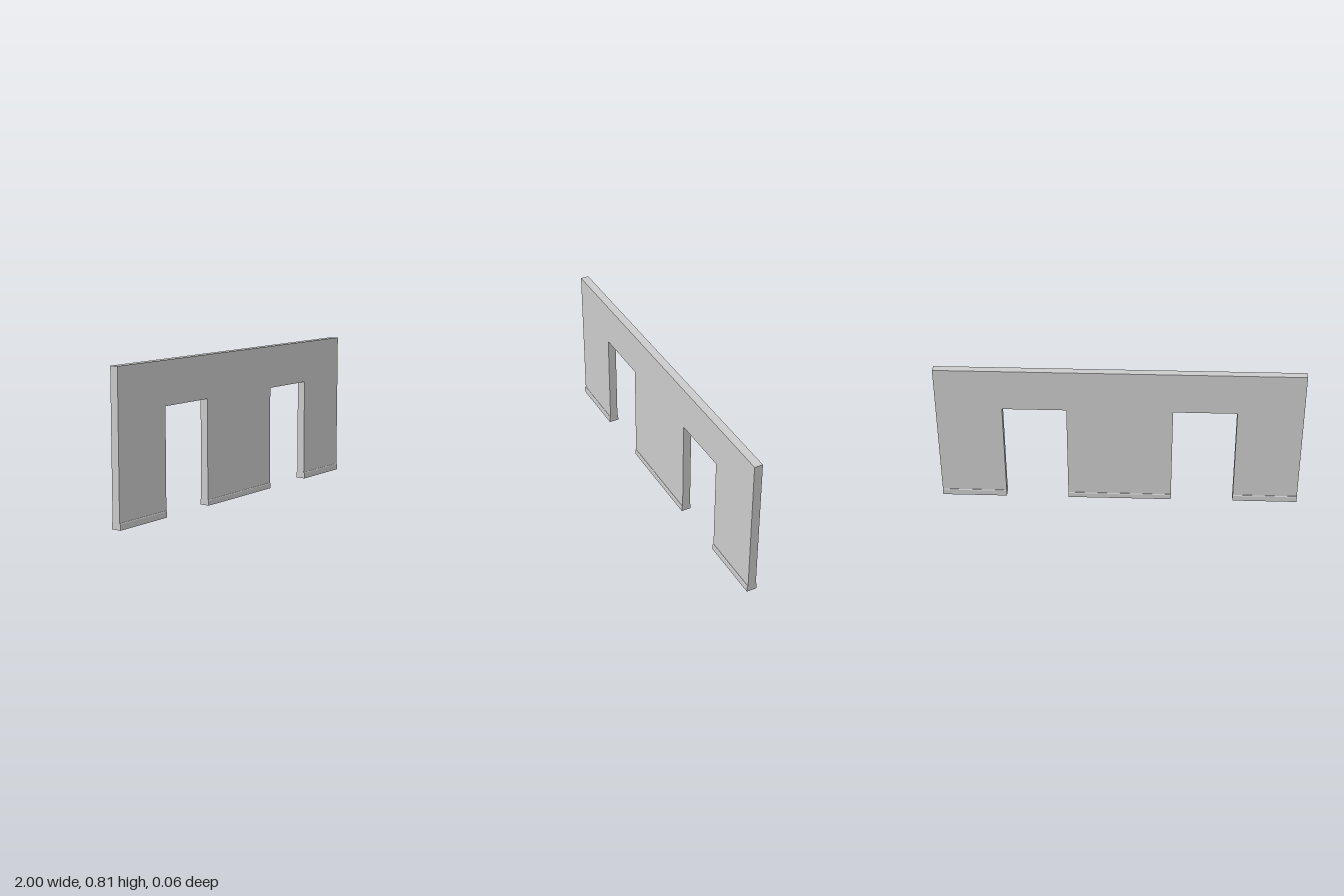
import * as THREE from 'three';

const HEIGHT = 0.812, HALF = 0.023, SKIRT = 0.028, DOOR_TOP = 0.577;
// x ranges of the wall piers between the two door openings, with skirting heights
const PIERS = [
  { name: 'right', x0: -1, x1: -0.64, top: 0.036 },
  { name: 'centre', x0: -0.292, x1: 0.287, top: 0.031 },
  { name: 'left', x0: 0.637, x1: 1, top: 0.036 },
];

const polygon = (points) => new THREE.Shape(points.map(([x, y]) => new THREE.Vector2(x, y)));

// Extrude a shape along its normal, centred on the origin
function prism(shape, depth) {
  const geometry = new THREE.ExtrudeGeometry(shape, { depth, bevelEnabled: false });
  return geometry.translate(0, 0, -depth / 2);
}

export function createModel() {
  const group = new THREE.Group();
  const material = new THREE.MeshStandardMaterial({ color: 0xcccccc, flatShading: true });
  const add = (name, geometry) => {
    const mesh = new THREE.Mesh(geometry, material);
    mesh.name = name;
    group.add(mesh);
    return mesh;
  };

  // Wall outline: along the piers and over the openings, then back along the top
  const outline = [];
  PIERS.forEach(({ x0, x1 }, i) => {
    if (i > 0) outline.push([x0, DOOR_TOP]);
    outline.push([x0, 0], [x1, 0]);
    if (i < PIERS.length - 1) outline.push([x1, DOOR_TOP]);
  });
  outline.push([1, HEIGHT], [-1, HEIGHT]);
  add('wall', prism(polygon(outline), HALF * 2));

  // Chamfered skirting board on the front and back of each pier
  for (const { name, x0, x1, top } of PIERS) {
    const profile = polygon([[HALF, 0], [SKIRT, 0], [SKIRT, top - 0.005], [SKIRT - 0.003, top], [HALF, top]]);
    for (const [side, turn] of [['Front', -1], ['Back', 1]]) {
      const board = add(`${name}Skirting${side}`, prism(profile, x1 - x0).rotateY(turn * Math.PI / 2));
      board.position.x = (x0 + x1) / 2;
    }
  }
  return group;
}
